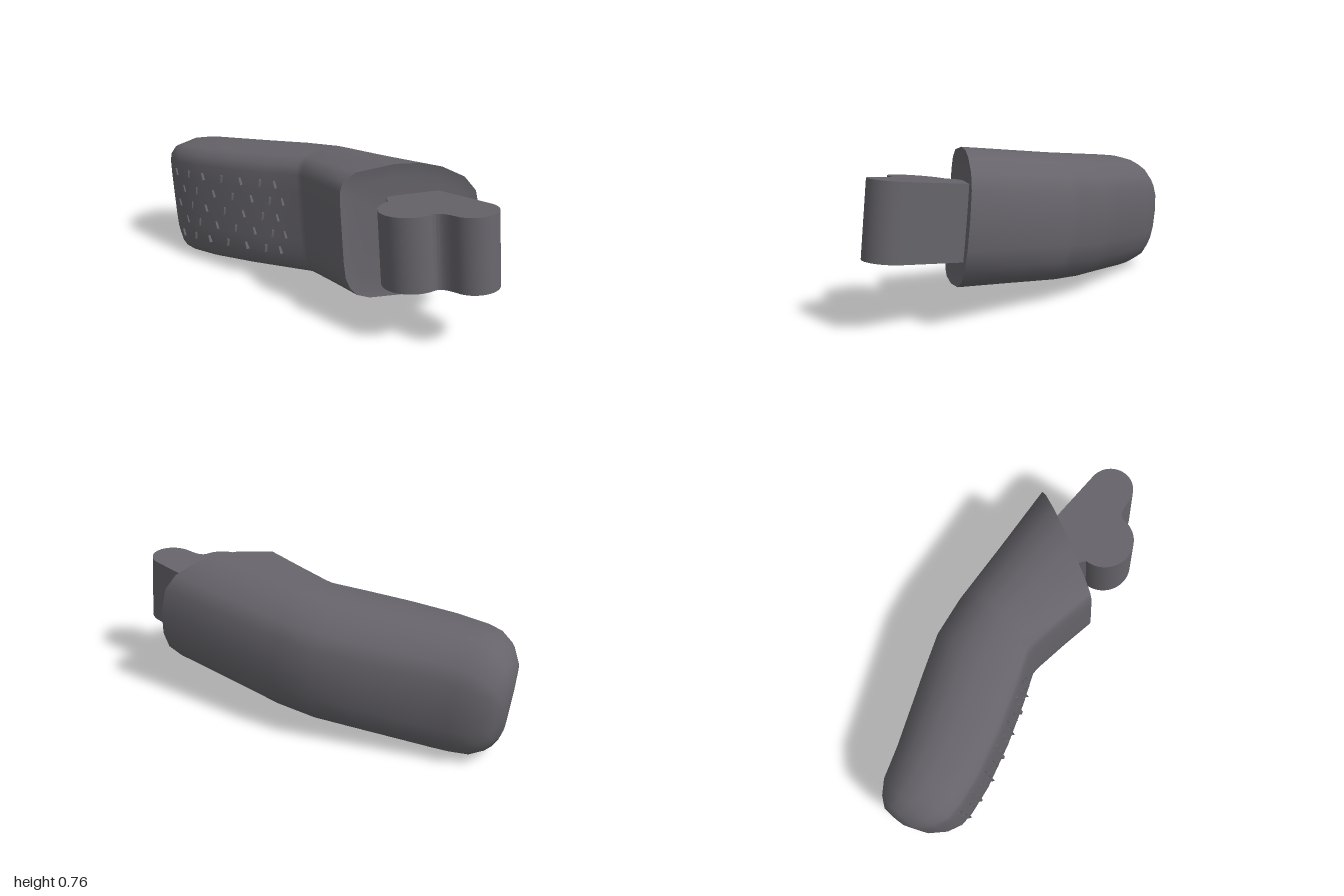
import * as THREE from 'three';
import { toCreasedNormals } from 'three/addons/utils/BufferGeometryUtils.js';

// Cross-section ring: across (0 = pad side, 1 = outer side), height
const RING = [
  [0, 0], [0, 0.4], [0.006, 0.68], [0.03, 0.82], [0.12, 0.94], [0.4, 1], [0.58, 0.97],
  [0.73, 0.88], [0.89, 0.69], [0.97, 0.46], [1, 0.05], [0.985, -0.35], [0.94, -0.62],
  [0.84, -0.83], [0.7, -0.95], [0.4, -1.02], [0.17, -1], [0.08, -0.93], [0.035, -0.82],
  [0.006, -0.64], [0, -0.4],
];

// Stations from tip to joint: pad-side x, z, outer-side x, z, half height
const STATIONS = [
  [-0.22, -0.985, -0.08, -0.99, 0.14],
  [-0.29, -0.955, -0.04, -0.955, 0.222],
  [-0.35, -0.89, 0.005, -0.89, 0.277],
  [-0.38, -0.82, 0.03, -0.82, 0.3],
  [-0.38, -0.75, 0.06, -0.74, 0.308],
  [-0.355, -0.6, 0.122, -0.6, 0.31],
  [-0.29, -0.38, 0.21, -0.4, 0.31],
  [-0.215, -0.18, 0.285, -0.22, 0.31],
  [-0.145, -0.02, 0.32, -0.02, 0.31],
  [-0.145, 0.02, 0.325, 0.04, 0.31],
  [-0.168, 0.2, 0.35, 0.32, 0.31],
  [-0.195, 0.37, 0.385, 0.67, 0.31],
];

function ringPoints([lx, lz, rx, rz, h]) {
  return RING.map(([u, v]) => [lx + (rx - lx) * u, v * h, lz + (rz - lz) * u]);
}

function makeGeometry(points, index) {
  const g = new THREE.BufferGeometry();
  g.setAttribute('position', new THREE.Float32BufferAttribute(points.flat(), 3));
  g.setIndex(index);
  g.computeVertexNormals();
  return g;
}

// Triangles between consecutive rings
function bridge(rings) {
  const n = RING.length;
  const index = [];
  for (let i = 0; i < rings - 1; i++) {
    for (let j = 0; j < n; j++) {
      const a = i * n + j, b = i * n + (j + 1) % n;
      index.push(a, a + n, b, b, a + n, b + n);
    }
  }
  return index;
}

// Bent shell with a rounded closed tip
function shellGeometry() {
  const points = STATIONS.flatMap(ringPoints);
  const index = bridge(STATIONS.length);
  const tip = points.length;
  points.push([-0.15, 0, -1]);
  for (let j = 0; j < RING.length; j++) index.push(tip, j, (j + 1) % RING.length);
  return makeGeometry(points, index);
}

// Slanted, slightly dished face at the joint end
function endFaceGeometry() {
  const n = RING.length;
  const center = new THREE.Vector3(0.095, 0, 0.52);
  const inward = new THREE.Vector3(0.46, 0, -0.89);
  const rim = ringPoints(STATIONS[STATIONS.length - 1]);
  const inset = (scale, depth) => rim.map((p) => new THREE.Vector3(...p)
    .lerp(center, 1 - scale).addScaledVector(inward, depth).toArray());
  const points = [...rim, ...inset(0.8, 0.015)];
  points.push(center.clone().addScaledVector(inward, 0.02).toArray());
  const index = bridge(2);
  for (let j = 0; j < n; j++) index.push(2 * n, n + (j + 1) % n, n + j);
  return makeGeometry(points, index);
}

// Two rounded lobes joined into one hinge block
function hingeGeometry() {
  const s = new THREE.Shape();
  s.moveTo(0.222, 0.5);
  s.lineTo(0.222, 0.88);
  s.absarc(0.111, 0.88, 0.111, 0, Math.PI, false);
  s.quadraticCurveTo(-0.005, 0.805, -0.04, 0.795);
  s.absarc(-0.04, 0.655, 0.14, Math.PI / 2, Math.PI * 1.5, false);
  s.lineTo(0, 0.46);
  const g = new THREE.ExtrudeGeometry(s, { depth: 0.343, bevelEnabled: false, curveSegments: 16 });
  g.rotateX(Math.PI / 2);
  g.translate(0, 0.159, 0);
  return toCreasedNormals(g, 0.6);
}

export function createModel() {
  const model = new THREE.Group();
  model.name = 'fingerSegment';
  const darkGrey = new THREE.MeshStandardMaterial({ color: 0x66646a });
  darkGrey.name = 'darkGrey';

  // Everything leans up slightly toward the joint
  const body = new THREE.Group();
  body.name = 'tiltedBody';
  body.position.y = 0.386;
  body.rotation.x = -0.11;
  model.add(body);

  const add = (name, geometry, parent = body) => {
    const mesh = new THREE.Mesh(geometry, darkGrey);
    mesh.name = name;
    parent.add(mesh);
    return mesh;
  };

  add('shell', shellGeometry());
  add('endFace', endFaceGeometry());
  add('hinge', hingeGeometry());

  // Staggered grip ridges on the flat pad
  const pad = new THREE.Group();
  pad.name = 'gripPad';
  body.add(pad);
  const ridge = new THREE.CylinderGeometry(0.01, 0.01, 0.038, 3).toNonIndexed();
  ridge.computeVertexNormals();
  const line = [[-0.38, -0.78], [-0.355, -0.6], [-0.29, -0.38], [-0.215, -0.18], [-0.16, -0.06]]
    .map(([x, z]) => new THREE.Vector2(x, z));
  for (let row = 0; row < 5; row++) {
    for (let col = 0; col < 7; col++) {
      const t = (col + (row % 2 ? 0.6 : 0.1)) / 7.2 * (line.length - 1);
      const k = Math.min(Math.floor(t), line.length - 2);
      const p = line[k].clone().lerp(line[k + 1], t - k);
      const m = add('gripRidge', ridge, pad);
      m.position.set(p.x, (row - 2) * 0.085 - 0.015, p.y);
      m.rotation.set(0.25 * (col % 2 ? 1 : -1), -1.2, 0);
    }
  }
  return model;
}
